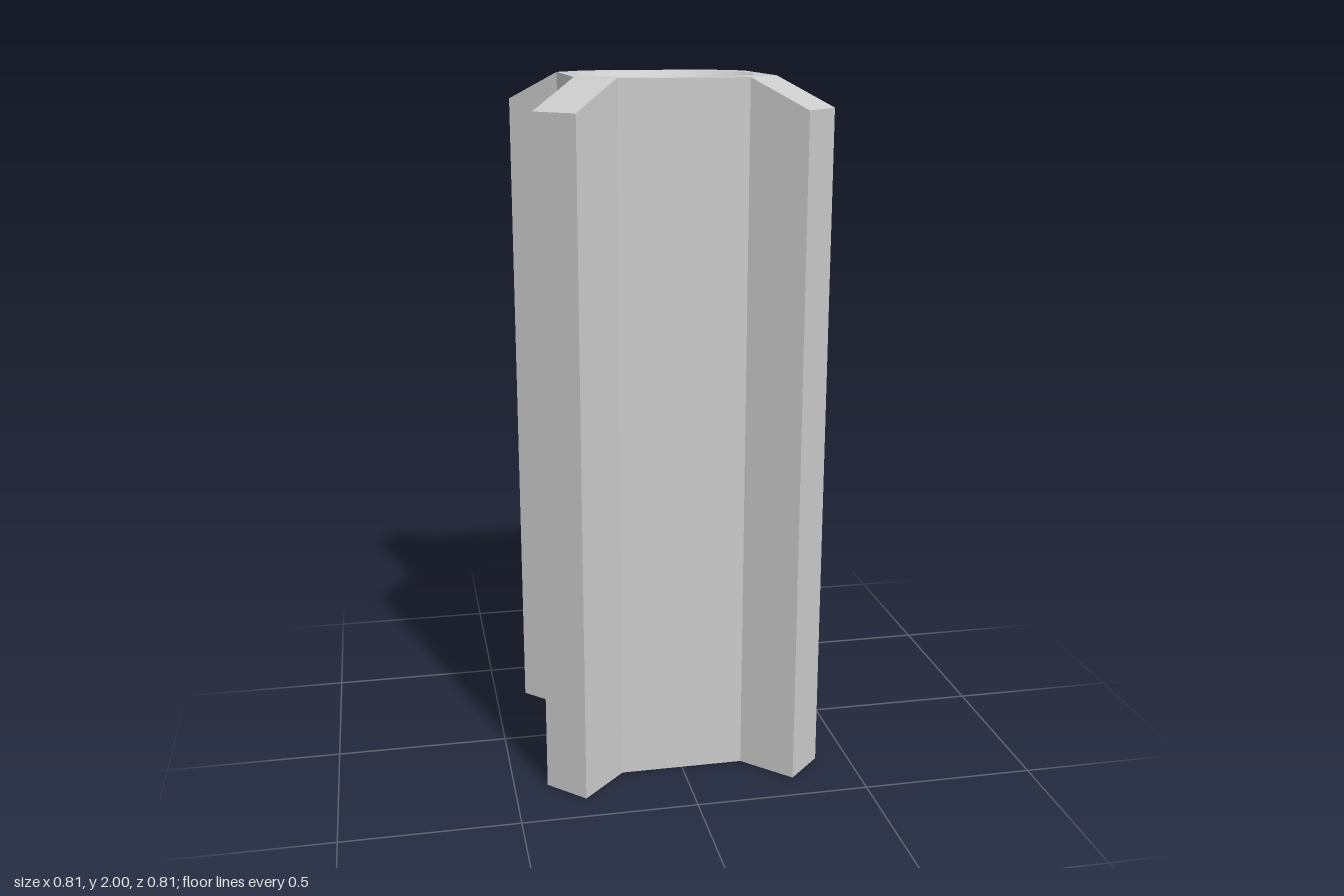
import * as THREE from 'three';

const HALF = 0.278, CUT = 0.179;       // core half width, start of the corner cut
const FIN_IN = (HALF + CUT) / Math.SQRT2, FIN_OUT = 0.502, FIN_W = (HALF - CUT) * Math.SQRT2;
const HEIGHT = 2, SHOULDER = 1.92, DEPTH = 0.03;
const RIM_R = 0.258, FLOOR_R = 0.225, SIDES = 12;

// square plan with cut corners
function corePlan() {
  return new THREE.Shape([
    [HALF, -CUT], [HALF, CUT], [CUT, HALF], [-CUT, HALF],
    [-HALF, CUT], [-HALF, -CUT], [-CUT, -HALF], [CUT, -HALF],
  ].map(([x, y]) => new THREE.Vector2(x, y)));
}

// upright prism from a plan, standing on y
function prism(plan, y, height) {
  const g = new THREE.ExtrudeGeometry(plan, { depth: height, bevelEnabled: false });
  return g.rotateX(-Math.PI / 2).translate(0, y, 0);
}

export function createModel() {
  const group = new THREE.Group();
  const flat = new THREE.MeshStandardMaterial({ color: 0xcccccc, flatShading: true });
  const smooth = new THREE.MeshStandardMaterial({ color: 0xcccccc });
  const add = (name, geometry, material = flat) => {
    const mesh = new THREE.Mesh(geometry, material);
    mesh.name = name;
    group.add(mesh);
    return mesh;
  };

  // solid core up to the floor of the recess
  add('core', prism(corePlan(), 0, HEIGHT - DEPTH));

  // top rim around the twelve-sided recess
  const rim = corePlan();
  const hole = [];
  for (let i = 0; i < SIDES; i++) {
    const a = -i / SIDES * Math.PI * 2;
    hole.push(new THREE.Vector2(Math.cos(a) * RIM_R, Math.sin(a) * RIM_R));
  }
  rim.holes.push(new THREE.Path(hole));
  add('topRim', prism(rim, HEIGHT - DEPTH, DEPTH));

  // sloping wall of the recess, facing inwards
  add('recessWall', new THREE.LatheGeometry([
    new THREE.Vector2(RIM_R, HEIGHT),
    new THREE.Vector2(FLOOR_R, HEIGHT - DEPTH),
  ], SIDES), smooth);

  // four corner fins with sloping tops
  const profile = new THREE.Shape([
    [FIN_IN, 0], [FIN_OUT, 0], [FIN_OUT, SHOULDER], [FIN_IN, HEIGHT],
  ].map(([x, y]) => new THREE.Vector2(x, y)));
  const fin = new THREE.ExtrudeGeometry(profile, { depth: FIN_W, bevelEnabled: false });
  fin.translate(0, 0, -FIN_W / 2);
  for (let i = 0; i < 4; i++) {
    add('cornerFin' + (i + 1), fin).rotation.y = Math.PI / 4 + i * Math.PI / 2;
  }
  return group;
}
